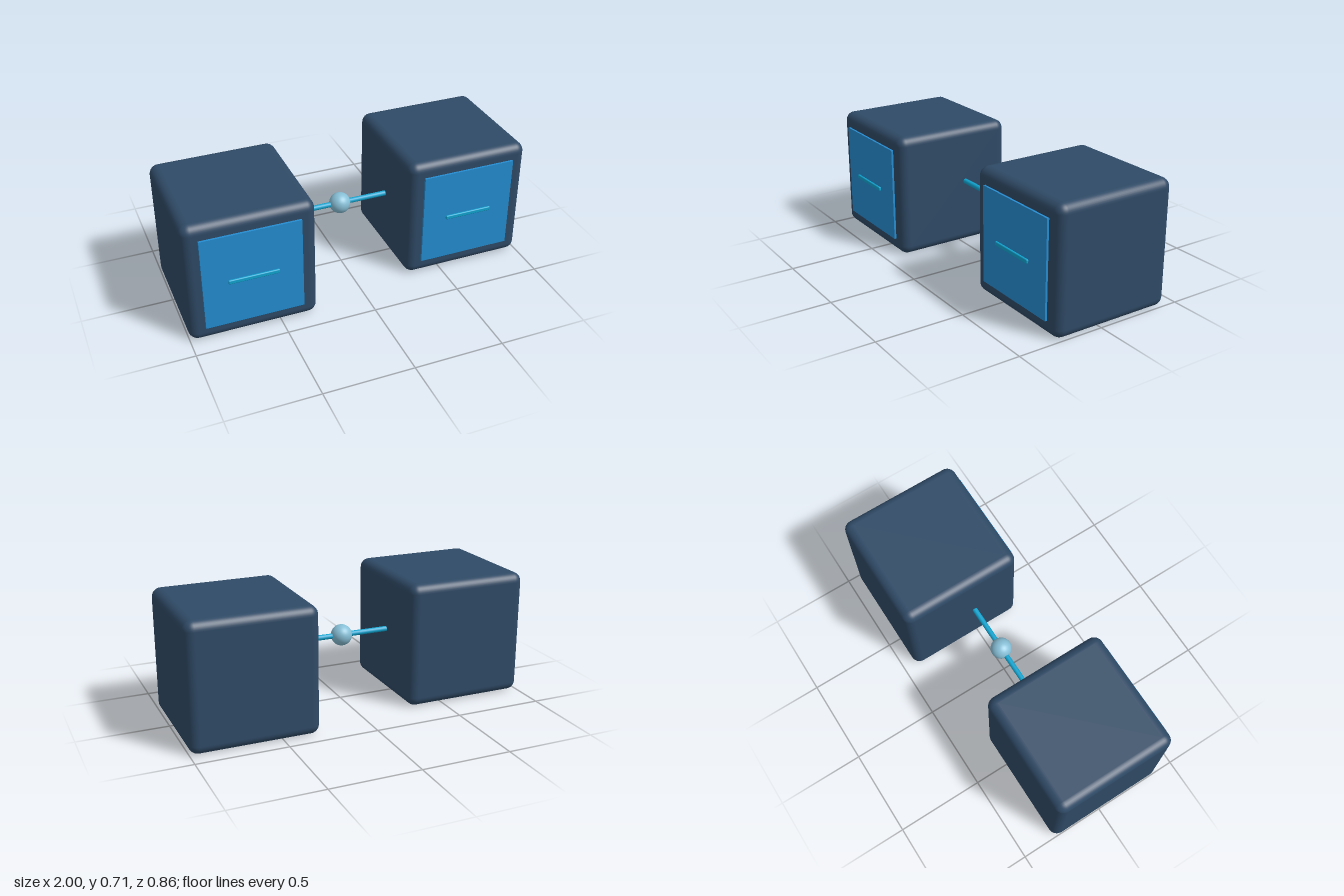
import * as THREE from 'three';
import { RoundedBoxGeometry } from 'three/addons/geometries/RoundedBoxGeometry.js';

const material = (name, color) => {
  const m = new THREE.MeshStandardMaterial({ color });
  m.name = name;
  return m;
};

export function createModel() {
  const navy = material('navy', 0x2f4a66);
  const blue = material('blue', 0x258dd2);
  const cyan = material('cyan', 0x10a4d0);
  const paleBlue = material('paleBlue', 0x87bfd6);

  const model = new THREE.Group();
  model.name = 'linkedCubes';

  const add = (parent, name, geometry, mat, x, y, z) => {
    const mesh = new THREE.Mesh(geometry, mat);
    mesh.name = name;
    mesh.position.set(x, y, z);
    parent.add(mesh);
    return mesh;
  };

  const SIZE = 0.708, HALF = SIZE / 2;
  const bodyGeometry = new RoundedBoxGeometry(SIZE, SIZE, SIZE, 5, 0.052);
  const panelGeometry = new THREE.BoxGeometry(0.54, 0.54, 0.024);
  const barGeometry = new RoundedBoxGeometry(0.275, 0.024, 0.014, 3, 0.006);

  // Two rounded cubes, staggered in depth, each with a front panel and a floating slim bar
  for (const [name, x, z] of [['rightCube', -0.646, 0.046], ['leftCube', 0.646, -0.076]]) {
    const cube = new THREE.Group();
    cube.name = name;
    cube.position.set(x, HALF, z);
    add(cube, 'body', bodyGeometry, navy, 0, 0, 0);
    add(cube, 'frontPanel', panelGeometry, blue, 0, 0.001, HALF);
    add(cube, 'panelBar', barGeometry, cyan, 0, 0.001, HALF + 0.024);
    model.add(cube);
  }

  // Connecting rod with a ball in the middle
  const linkY = 0.387, linkZ = -0.018;
  const rod = add(model, 'connectingRod', new THREE.CylinderGeometry(0.015, 0.015, 0.556, 16), cyan, 0, linkY, linkZ);
  rod.rotation.z = Math.PI / 2;
  add(model, 'centreBall', new THREE.SphereGeometry(0.06, 32, 20), paleBlue, 0, linkY, linkZ);

  return model;
}
